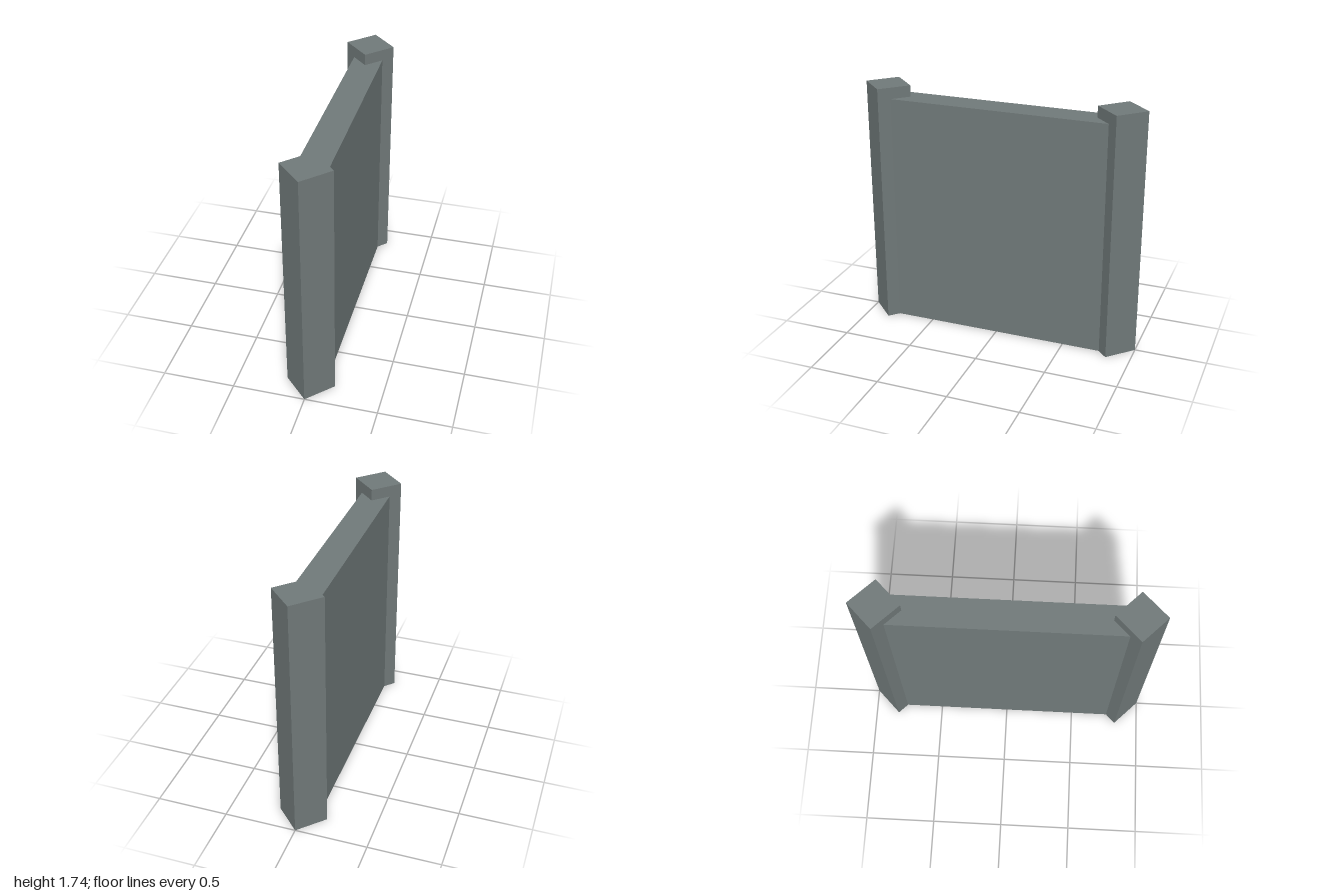
import * as THREE from 'three';

export function createModel() {
  const group = new THREE.Group();
  const stone = new THREE.MeshStandardMaterial({ color: 0x707979 });
  stone.name = 'greyStone';

  const height = 1.74;     // post height
  const radius = 0.168;    // centre to corner of a post
  const postZ = 1 - radius;
  const wallHeight = 1.66;

  // Straight wall panel, its ends buried in the posts
  const wall = new THREE.Mesh(new THREE.BoxGeometry(0.206, wallHeight, postZ * 2), stone);
  wall.name = 'wallPanel';
  wall.position.y = wallHeight / 2;
  group.add(wall);

  // Square posts turned 45 degrees, one at each end
  const side = radius * Math.SQRT2;
  const postGeometry = new THREE.BoxGeometry(side, height, side).rotateY(Math.PI / 4);
  for (const [name, sign] of [['frontPost', 1], ['backPost', -1]]) {
    const post = new THREE.Mesh(postGeometry, stone);
    post.name = name;
    post.position.set(0, height / 2, sign * postZ);
    group.add(post);
  }

  return group;
}
